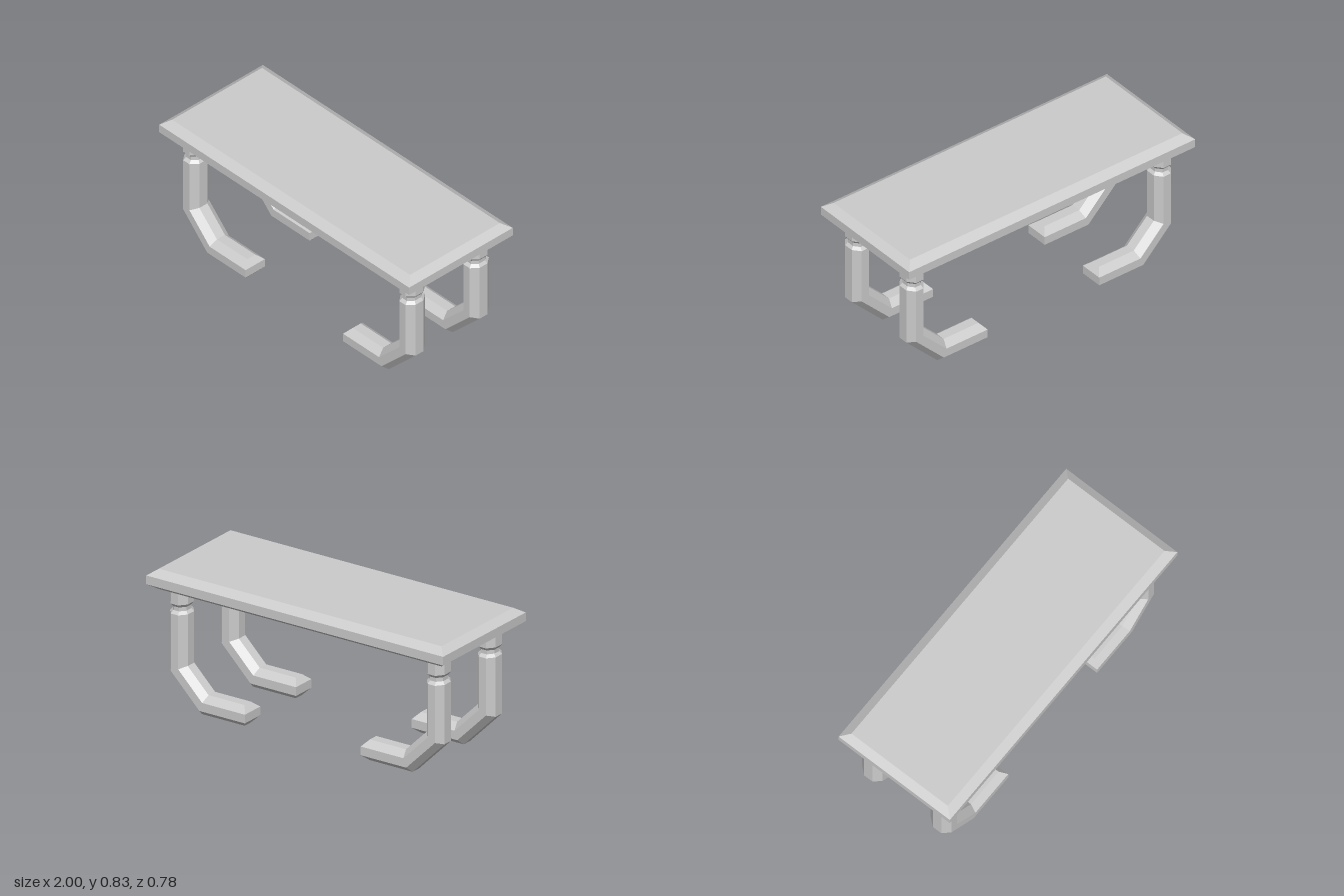
import * as THREE from 'three';

const material = new THREE.MeshStandardMaterial({ color: 0xcccccc, flatShading: true });

// Slab with a vertical rim and bevelled upper and lower edges
function tabletopGeometry() {
  const levels = [0.707, 0.741, 0.793, 0.827];
  const geo = new THREE.BoxGeometry(2, 3, 0.78, 1, 3, 1);
  const p = geo.attributes.position;
  for (let i = 0; i < p.count; i++) {
    const level = Math.round(p.getY(i) + 1.5);
    const inset = level === 0 || level === 3;
    p.setXYZ(i,
      Math.sign(p.getX(i)) * (inset ? 0.952 : 1),
      levels[level],
      Math.sign(p.getZ(i)) * (inset ? 0.338 : 0.39));
  }
  const flat = geo.toNonIndexed();
  flat.computeVertexNormals();
  return flat;
}

// Octagonal ring spanned between an outer and an inner point of the leg outline
function ring([ox, oy, ix, iy, halfZ, push = 0]) {
  const flat = halfZ * 0.414;
  const at = (t, z, dx = 0) =>
    new THREE.Vector3(ox + (ix - ox) * t - dx, oy + (iy - oy) * t, z);
  return [
    at(0, -flat), at(0, flat),
    at(0.29, halfZ, push), at(0.71, halfZ, push),
    at(1, flat), at(1, -flat),
    at(0.71, -halfZ, push), at(0.29, -halfZ, push),
  ];
}

// Leg skinned over rings, from the tabletop down to the inward foot
function legGeometry() {
  const upright = (y, k = 1) =>
    [0.865 + 0.06 * k, y, 0.865 - 0.06 * k, y, 0.0725 * k];
  const rings = [
    upright(0.708),
    upright(0.627),
    upright(0.608, 0.77), // turned neck
    upright(0.585, 0.77),
    upright(0.568),
    [0.925, 0.215, 0.805, 0.262, 0.0725], // upper bend
    [0.71, 0, 0.665, 0.123, 0.0725], // lower bend
    [0.422, 0, 0.422, 0.123, 0.0725, 0.032], // bevelled toe
  ].map(ring);

  const points = [];
  const quad = (a, b, c, d) => points.push(a, b, c, a, c, d);
  for (let i = 0; i < rings.length - 1; i++) {
    for (let j = 0; j < 8; j++) {
      const k = (j + 1) % 8;
      quad(rings[i][j], rings[i][k], rings[i + 1][k], rings[i + 1][j]);
    }
  }
  // End caps, each made of three strips
  const top = rings[0], toe = rings[rings.length - 1];
  for (const [a, b, c, d] of [[0, 1, 2, 7], [7, 2, 3, 6], [6, 3, 4, 5]]) {
    quad(toe[a], toe[b], toe[c], toe[d]);
    quad(top[d], top[c], top[b], top[a]);
  }
  const geo = new THREE.BufferGeometry().setFromPoints(points);
  geo.computeVertexNormals();
  return geo;
}

export function createModel() {
  const table = new THREE.Group();
  table.name = 'table';

  const tabletop = new THREE.Mesh(tabletopGeometry(), material);
  tabletop.name = 'tabletop';
  table.add(tabletop);

  // Four legs, the right pair turned to face inward
  const legGeo = legGeometry();
  for (const side of ['left', 'right']) {
    for (const end of ['Front', 'Back']) {
      const leg = new THREE.Mesh(legGeo, material);
      leg.name = `${side}${end}Leg`;
      leg.rotation.y = side === 'left' ? 0 : Math.PI;
      leg.position.z = end === 'Front' ? 0.241 : -0.241;
      table.add(leg);
    }
  }
  return table;
}
